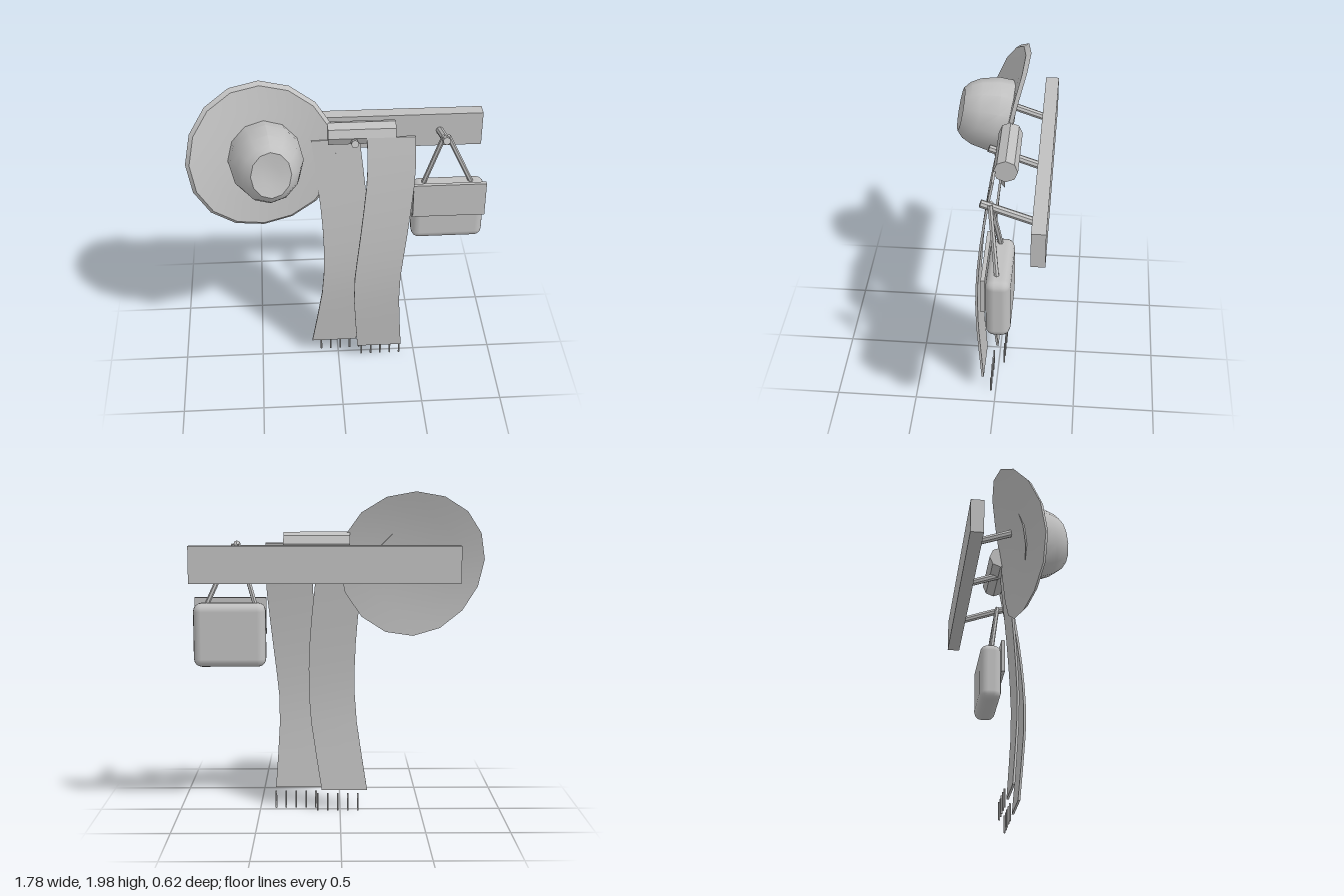
import * as THREE from 'three';
import { toCreasedNormals } from 'three/addons/utils/BufferGeometryUtils.js';
import { RoundedBoxGeometry } from 'three/addons/geometries/RoundedBoxGeometry.js';

const V = (x, y, z) => new THREE.Vector3(x, y, z);

export function createModel() {
  const model = new THREE.Group();
  model.name = 'coatRack';
  const grey = new THREE.MeshStandardMaterial({ color: 0xc0c0c0 });
  grey.name = 'plainGrey';

  function add(name, geometry, parent = model) {
    const mesh = new THREE.Mesh(geometry, grey);
    mesh.name = name;
    parent.add(mesh);
    return mesh;
  }

  // Move every vertex of a geometry by a rule
  function bend(geometry, rule) {
    const pos = geometry.attributes.position;
    const p = new THREE.Vector3();
    for (let i = 0; i < pos.count; i++) {
      rule(p.fromBufferAttribute(pos, i));
      pos.setXYZ(i, p.x, p.y, p.z);
    }
    return toCreasedNormals(geometry, 0.6);
  }

  // Straight round bar between two points
  function bar(name, a, b, radius, sides) {
    const mesh = add(name, toCreasedNormals(new THREE.CylinderGeometry(radius, radius, a.distanceTo(b), sides), 0.6));
    mesh.position.copy(a).lerp(b, 0.5);
    mesh.quaternion.setFromUnitVectors(V(0, 1, 0), b.clone().sub(a).normalize());
    return mesh;
  }

  // Wall board with three sloping pegs
  add('board', new THREE.BoxGeometry(1.6, 0.22, 0.08)).position.set(0.09, 1.56, -0.27);
  for (const x of [-0.43, 0.095, 0.63]) bar('peg', V(x, 1.55, -0.25), V(x, 1.66, 0.06), 0.023, 8);

  // Hat: wavy brim and pinched crown, its axis pointing forward and a little up
  const hat = new THREE.Group();
  hat.name = 'hat';
  hat.position.set(-0.445, 1.55, 0);
  hat.rotation.set(-0.2, 0.12, 0);
  model.add(hat);

  const R = 0.453;
  const lathe = (points, sides) =>
    new THREE.LatheGeometry(points.map(([r, h]) => new THREE.Vector2(r, h)), sides).rotateX(Math.PI / 2);
  const brim = lathe([
    [0, -0.02], [0.15, -0.02], [0.3, -0.02], [R, -0.02],
    [R - 0.022, 0.005], [0.3, 0.002], [0.15, 0], [0, 0],
  ], 16);
  add('hatBrim', bend(brim, (p) => {
    const r = Math.hypot(p.x, p.y) / R;
    p.z += 0.045 * r * r * Math.cos(2 * (Math.atan2(p.y, p.x) - 0.26));
  }), hat);

  const crown = lathe([
    [0.225, -0.02], [0.232, 0.08], [0.21, 0.19], [0.18, 0.25],
    [0.14, 0.285], [0.06, 0.272], [0, 0.27],
  ], 12);
  add('hatCrown', bend(crown, (p) => { p.x *= 0.98 - 0.5 * Math.max(p.z, 0); }), hat).position.x = 0.015;

  // Scarf: a roll over the middle peg and two hanging ends
  const roll = add('scarfRoll', toCreasedNormals(new THREE.CylinderGeometry(0.07, 0.07, 0.4, 8).rotateZ(Math.PI / 2), 0.6));
  roll.position.set(0.14, 1.67, -0.055);

  function scarfEnd(name, centres, fringeX, fringeZ) {
    const path = new THREE.CatmullRomCurve3(centres);
    add(name, bend(new THREE.BoxGeometry(0.285, 1, 0.014, 2, 10, 1), (p) => {
      const c = path.getPoint(0.5 - p.y);
      p.set(p.x + c.x, c.y, p.z + c.z);
    }));
    for (let i = -2; i <= 2; i++) {
      add('fringe', new THREE.CylinderGeometry(0.006, 0.006, 0.11, 6))
        .position.set(fringeX + i * 0.0625, 0.055, fringeZ);
    }
  }
  scarfEnd('scarfBackEnd', [
    V(-0.015, 1.64, -0.03), V(0.01, 1.42, -0.005), V(0.045, 1.05, 0.032), V(0.047, 0.65, 0.05), V(-0.028, 0.12, 0.012),
  ], 0.015, -0.035);
  scarfEnd('scarfFrontEnd', [
    V(0.31, 1.67, 0.008), V(0.312, 1.43, 0.05), V(0.272, 1.02, 0.1), V(0.235, 0.63, 0.117), V(0.262, 0.12, 0.082),
  ], 0.276, 0.03);

  // Bag with front flap and two straps meeting on the right-hand peg
  add('bagBody', new RoundedBoxGeometry(0.44, 0.39, 0.14, 2, 0.05)).position.set(0.672, 1.115, -0.053);
  add('bagFlap', new THREE.BoxGeometry(0.44, 0.225, 0.024)).position.set(0.672, 1.223, 0.026);
  for (const [top, low] of [[0.62, 0.515], [0.645, 0.815]]) {
    bar('bagStrap', V(top, 1.66, 0.005), V(low, 1.29, -0.045), 0.015, 6);
  }

  return model;
}
